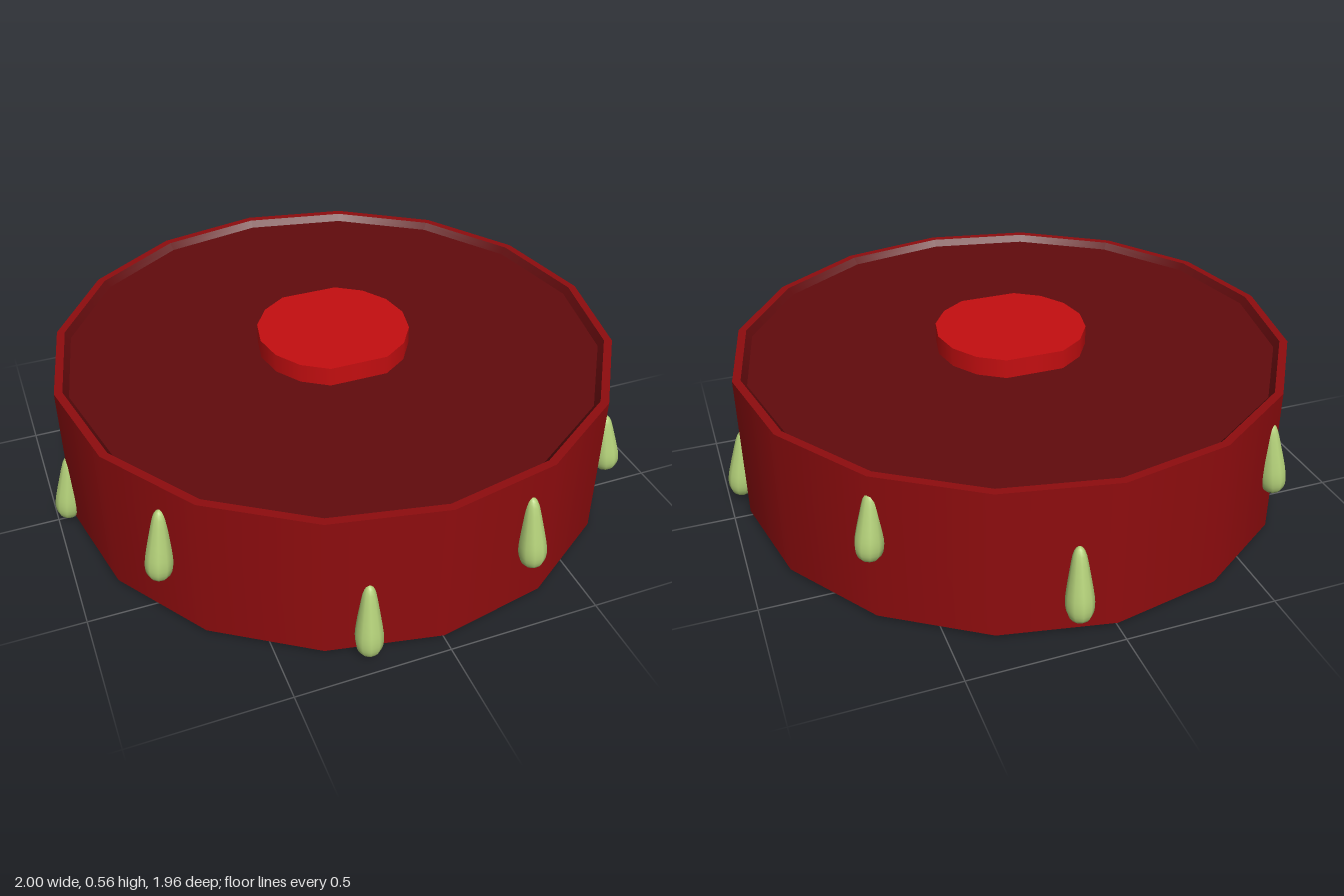
import * as THREE from 'three';

const SIDES = 16, R = 0.945, RIM = 0.918, LOW = 0.012, HIGH = 0.518;

const mat = (name, color, side = THREE.FrontSide) => {
  const m = new THREE.MeshStandardMaterial({ color, side });
  m.name = name;
  return m;
};

export function createModel() {
  const model = new THREE.Group();
  model.name = 'slimyDrum';
  const red = mat('drum red', 0x8e0c0e, THREE.DoubleSide);
  const dark = mat('dark red', 0x620b0d, THREE.DoubleSide);
  const bright = mat('hub red', 0xc40e10);
  const green = mat('slime green', 0xb2cf78);

  const body = new THREE.Group();
  body.name = 'drum';
  body.position.z = 0.007;
  model.add(body);

  const add = (name, geometry, material) => {
    const mesh = new THREE.Mesh(geometry, material);
    mesh.name = name;
    body.add(mesh);
    return mesh;
  };
  const lathe = (pts) =>
    new THREE.LatheGeometry(pts.map(([r, y]) => new THREE.Vector2(r, y)), SIDES);

  // Outer wall
  add('outerWall', lathe([[R, LOW], [R, HIGH]]), red);

  // Rims, sloped recess walls and the recessed faces, above and below
  for (const [label, edge, floor] of [['top', HIGH, 0.495], ['bottom', LOW, 0.06]]) {
    // keep each profile running so that the surface faces outward
    const order = (pts) => (label === 'top' ? pts : pts.reverse());
    add(label + 'Rim', lathe(order([[R, edge], [RIM, edge]])), red);
    add(label + 'RecessWall', lathe(order([[RIM, edge], [0.9, floor]])), dark);
    add(label + 'Face', lathe(order([[0.9, floor], [0, floor]])), dark);
  }

  // Hub, with its front and back points flattened
  const hub = new THREE.CylinderGeometry(0.257, 0.257, 0.56, SIDES);
  const p = hub.attributes.position;
  const flat = 0.257 * Math.cos(Math.PI / 8);
  for (let i = 0; i < p.count; i++) {
    p.setZ(i, THREE.MathUtils.clamp(p.getZ(i), -flat, flat));
  }
  hub.translate(0, 0.28, 0);
  add('hub', hub, bright);

  // Slime drips: x, z, lowest y, length
  const drop = new THREE.LatheGeometry(
    new THREE.SplineCurve(
      [[0, 0], [0.027, 0.008], [0.041, 0.035], [0.044, 0.07], [0.04, 0.11],
        [0.031, 0.17], [0.021, 0.23], [0.011, 0.253], [0, 0.26]]
        .map(([r, y]) => new THREE.Vector2(r, y))
    ).getPoints(16).map((v) => v.setX(Math.max(0, v.x))), 10);

  const drips = [
    [0.13, -0.95, 0.07, 0.25],
    [0.68, -0.67, 0.235, 0.225],
    [-0.65, -0.70, 0.18, 0.25],
    [-0.965, 0.0, 0.01, 0.25],
    [0.96, 0.10, 0.03, 0.25],
    [0.71, 0.655, 0.235, 0.205],
    [0.295, 0.925, 0.18, 0.25],
    [-0.24, 0.935, 0.012, 0.255],
    [-0.775, 0.575, 0.18, 0.25],
  ];
  for (const [x, z, y, length] of drips) {
    const drip = new THREE.Mesh(drop, green);
    drip.name = 'slimeDrip';
    drip.position.set(x, y, z);
    drip.scale.y = length / 0.26;
    // Turn outward, then lean the tip in against the wall
    drip.rotation.set(-0.13, Math.atan2(x, z), 0, 'YXZ');
    model.add(drip);
  }
  return model;
}
